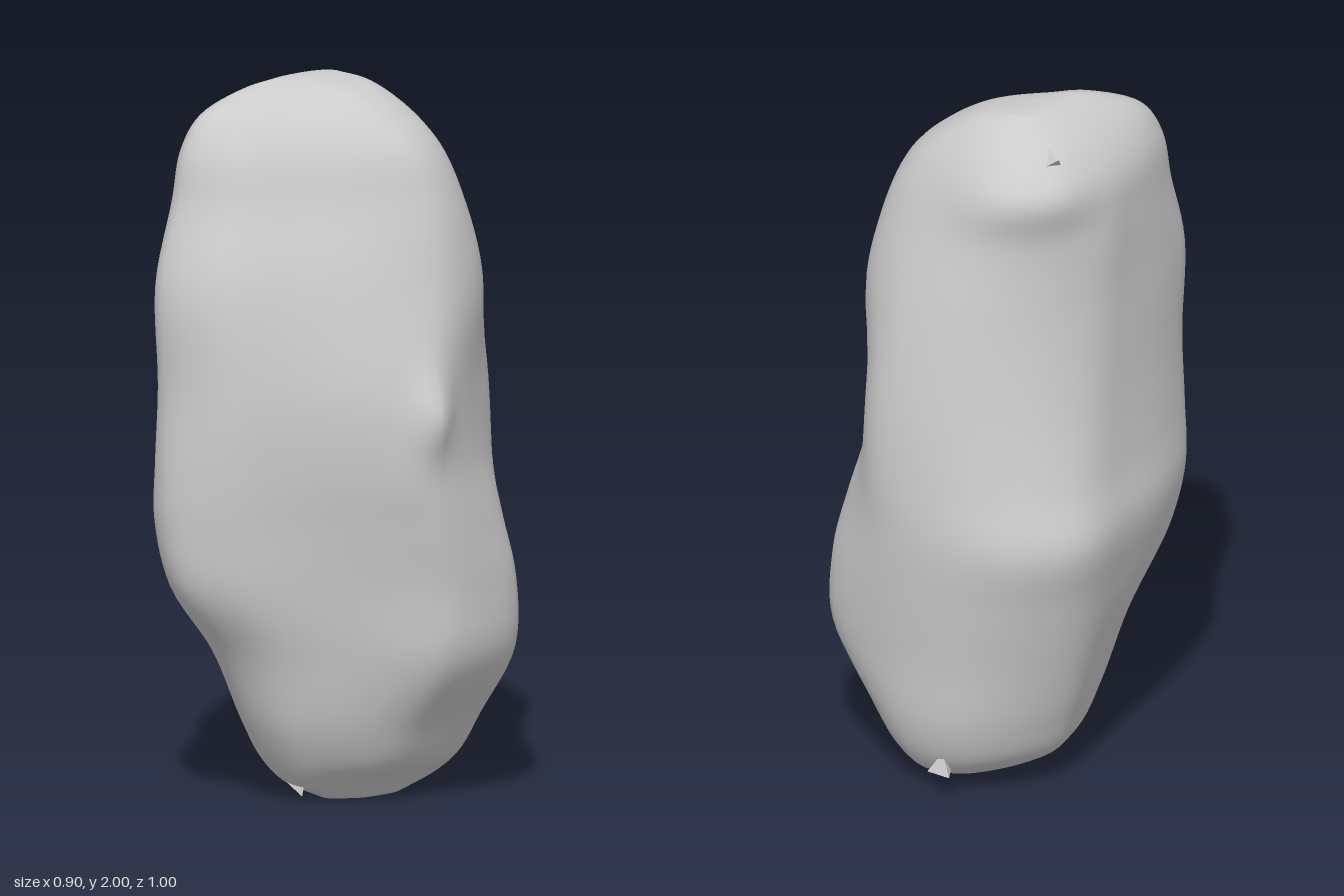
import * as THREE from 'three';

// Levels of the boulder: y, xMin, xMax, zMin, zMax, ridge x, z of the widest points on the -x and +x sides
const LEVELS = [
  [0.00, -0.06, 0.08, -0.23, 0.02, 0.01, -0.10, -0.10],
  [0.05, -0.17, 0.13, -0.36, 0.12, -0.01, -0.10, -0.12],
  [0.11, -0.25, 0.20, -0.41, 0.17, -0.02, -0.10, -0.13],
  [0.22, -0.30, 0.26, -0.45, 0.23, -0.02, -0.11, -0.15],
  [0.42, -0.36, 0.38, -0.475, 0.32, -0.02, -0.12, -0.17],
  [0.62, -0.41, 0.40, -0.49, 0.46, -0.03, -0.14, -0.17],
  [0.80, -0.45, 0.41, -0.495, 0.495, -0.05, -0.16, -0.13],
  [0.96, -0.41, 0.41, -0.495, 0.495, -0.06, -0.13, -0.09],
  [1.18, -0.37, 0.39, -0.48, 0.48, -0.08, -0.08, -0.10],
  [1.46, -0.345, 0.325, -0.43, 0.475, -0.11, -0.03, -0.18],
  [1.68, -0.345, 0.275, -0.365, 0.405, -0.13, 0.00, -0.19],
  [1.82, -0.335, 0.225, -0.315, 0.37, -0.14, 0.00, -0.15],
  [1.91, -0.28, 0.14, -0.26, 0.31, -0.15, -0.01, -0.10],
  [1.975, -0.20, 0.03, -0.19, 0.18, -0.14, -0.02, -0.06],
  [2.00, -0.15, -0.08, -0.12, 0.08, -0.12, -0.02, -0.03],
];
const AROUND = 64, UP = 84;

// Smooth swelling around a height
const swell = (y, centre, width) => Math.exp(-(((y - centre) / width) ** 2));

// Control points of one rounded triangular cross-section, from the front ridge towards +x
function section([y, x0, x1, z0, z1, rx, zl, zr]) {
  const mix = THREE.MathUtils.lerp;
  const bx = mix(x0, x1, 0.58);
  // Outward push of the front +x flank, the back +x corner and the back -x corner
  const flank = 0.05 * swell(y, 0.22, 0.2) + 0.06 * swell(y, 1.4, 0.4);
  const cornerR = 0.03 * swell(y, 0.48, 0.2) - 0.085 * swell(y, 1.07, 0.28);
  const cornerL = 0.05 * swell(y, 1.83, 0.12);
  const point = (x, z, push = 0, sx = 1, sz = 1) =>
    new THREE.Vector3(x + 0.82 * sx * push, y, z + 0.57 * sz * push);
  return [
    point(rx, z1),
    point(mix(x1, rx, 0.72), mix(zr, z1, 0.87), flank * 0.7),
    point(mix(x1, rx, 0.45), mix(zr, z1, 0.55), flank),
    point(mix(x1, rx, 0.14), mix(zr, z1, 0.22), flank * 0.7),
    point(x1, zr),
    point(mix(x1, bx, 0.30), mix(zr, z0, 0.76), cornerR, 1, -1),
    point(bx, z0),
    point(mix(x0, bx, 0.45), mix(zl, z0, 0.85), cornerL, -1, -1),
    point(mix(x0, bx, 0.12), mix(zl, z0, 0.46), cornerL, -1, -1),
    point(x0, zl),
    point(mix(x0, rx, 0.15), mix(zl, z1, 0.34)),
    point(mix(x0, rx, 0.41), mix(zl, z1, 0.71)),
    point(mix(x0, rx, 0.69), mix(zl, z1, 0.94)),
  ];
}

function boulderGeometry() {
  const rings = LEVELS.map(section);
  const columns = rings[0].map((_, k) => new THREE.CatmullRomCurve3(rings.map((r) => r[k])));
  const nub = new THREE.Vector3(0.41, 1.12, -0.08);
  const pos = [], index = [];
  for (let i = 0; i <= UP; i++) {
    const ring = new THREE.CatmullRomCurve3(columns.map((c) => c.getPoint(i / UP)), true);
    for (let j = 0; j < AROUND; j++) {
      const p = ring.getPoint(j / AROUND);
      // Small pointed nub on the +x side
      const d = Math.hypot(p.x - nub.x, (p.y - nub.y) * 0.6, p.z - nub.z);
      p.x += 0.05 * swell(d, 0, 0.06);
      pos.push(p.x, Math.max(0, p.y), p.z);
    }
  }
  for (let i = 0; i < UP; i++) {
    for (let j = 0; j < AROUND; j++) {
      const k = (j + 1) % AROUND;
      const a = i * AROUND + j, b = i * AROUND + k;
      index.push(a, b, b + AROUND, a, b + AROUND, a + AROUND);
    }
  }
  // Close the underside and the crown
  const bottom = pos.length / 3, top = bottom + 1, last = UP * AROUND;
  pos.push(0.01, 0, -0.1, -0.12, 2, -0.02);
  for (let j = 0; j < AROUND; j++) {
    const k = (j + 1) % AROUND;
    index.push(bottom, k, j, top, last + j, last + k);
  }
  const geo = new THREE.BufferGeometry();
  geo.setAttribute('position', new THREE.Float32BufferAttribute(pos, 3));
  geo.setIndex(index);
  geo.computeVertexNormals();
  return geo;
}

export function createModel() {
  const group = new THREE.Group();
  group.name = 'boulder';
  const stone = new THREE.Mesh(boulderGeometry(), new THREE.MeshStandardMaterial({ color: 0xcccccc }));
  stone.name = 'stone';
  group.add(stone);

  // Sharp little chips standing out of the surface
  const chipMaterial = new THREE.MeshStandardMaterial({ color: 0xcccccc, flatShading: true });
  const chips = [[-0.27, 1.91, -0.13], [0.0, 0.05, 0.09], [-0.1, 0.09, -0.38]];
  chips.forEach(([x, y, z], i) => {
    const chip = new THREE.Mesh(new THREE.TetrahedronGeometry(0.045), chipMaterial);
    chip.name = 'chip' + (i + 1);
    chip.position.set(x, y, z);
    chip.rotation.set(0.4 * i, 0.5 + i, 0.2);
    group.add(chip);
  });
  return group;
}
